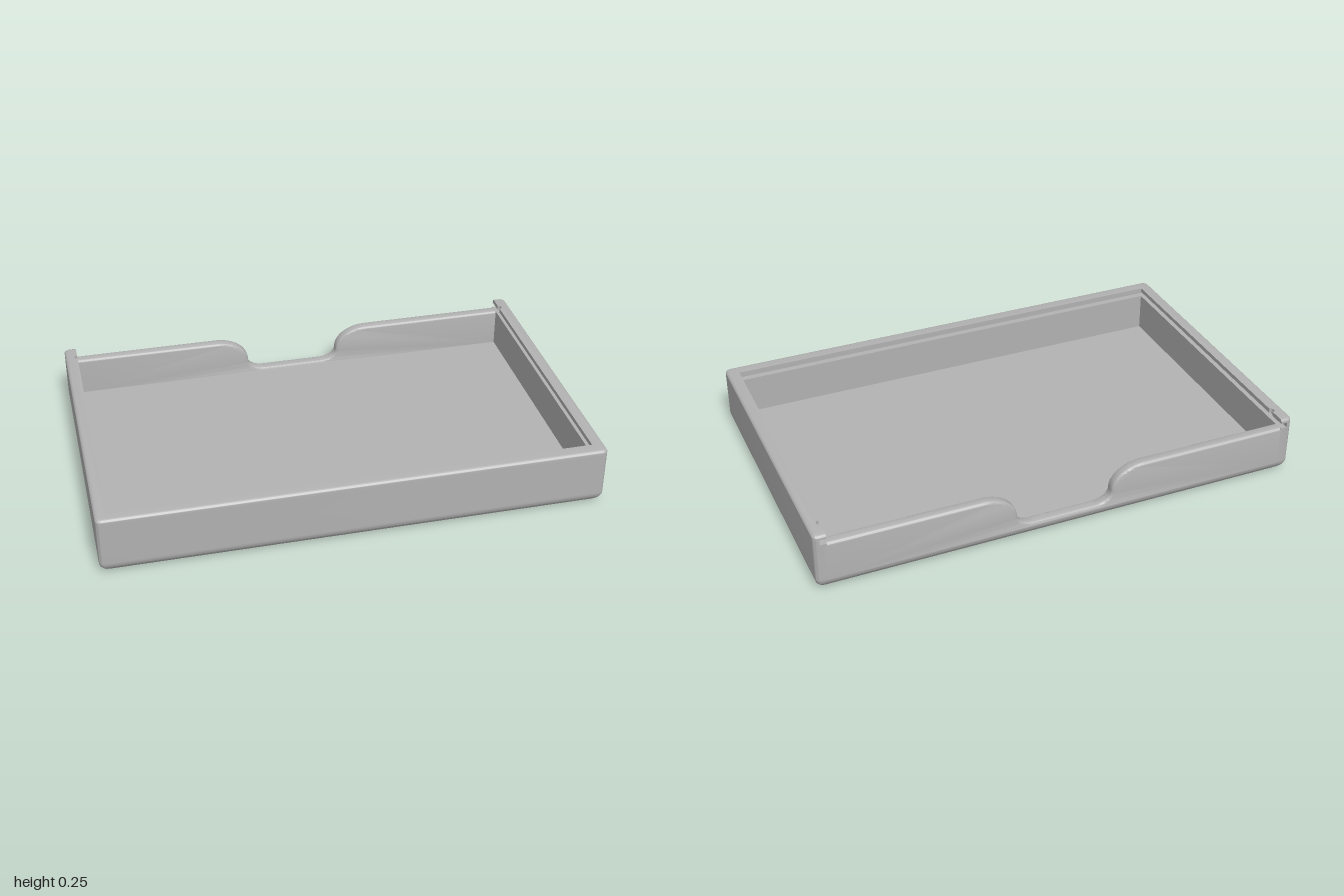
import * as THREE from 'three';
import { toCreasedNormals } from 'three/addons/utils/BufferGeometryUtils.js';

const X = 1, Z = 0.63, R = 0.02;           // half width, half depth, corner radius
const FLOOR = 0.05, LEDGE = 0.21, LIP = 0.232, TOP = 0.25;
const IN_X = 0.95, FRONT = 0.577, BACK = 0.583; // inner faces

// outline seen from above (shape y = -z); an open U when inX is given
function outline(inX, inZ, detent) {
  const s = new THREE.Shape();
  s.moveTo(-X + R, -Z);
  s.lineTo(X - R, -Z);
  s.absarc(X - R, -Z + R, R, -Math.PI / 2, 0);
  s.lineTo(X, Z - R);
  s.absarc(X - R, Z - R, R, 0, Math.PI / 2);
  if (inX) {
    s.lineTo(inX, Z);
    if (detent) s.absarc(inX, 0.55, 0.013, Math.PI / 2, -Math.PI / 2, true);
    s.lineTo(inX, -inZ);
    s.lineTo(-inX, -inZ);
    if (detent) s.absarc(-inX, 0.55, 0.013, -Math.PI / 2, Math.PI / 2, true);
    s.lineTo(-inX, Z);
  }
  s.lineTo(-X + R, Z);
  s.absarc(-X + R, Z - R, R, Math.PI / 2, Math.PI);
  s.lineTo(-X, -Z + R);
  s.absarc(-X + R, -Z + R, R, Math.PI, Math.PI * 1.5);
  return s;
}

// layer between two heights; inset(y) pulls the outer faces inward
function layer(shape, y0, y1, inset) {
  const g = new THREE.ExtrudeGeometry(shape, {
    depth: y1 - y0, steps: inset ? 9 : 1, bevelEnabled: false, curveSegments: 6,
  });
  g.rotateX(-Math.PI / 2).translate(0, y0, 0);
  if (inset) {
    const p = g.attributes.position;
    for (let i = 0; i < p.count; i++) {
      const x = p.getX(i), z = p.getZ(i), d = inset(p.getY(i));
      if (Math.abs(x) > 0.972) p.setX(i, x - Math.sign(x) * d);
      if (Math.abs(z) > 0.605) p.setZ(i, z - Math.sign(z) * d);
    }
  }
  return toCreasedNormals(g, 0.6);
}

// quarter-round inset: k runs from 0 (flush) to 1 (fully rounded)
const round = (r, k) => {
  const c = Math.min(1, Math.max(0, k));
  return r * (1 - Math.sqrt(1 - c * c));
};

// low back wall with a curved finger notch and softened edges
function backWallGeometry() {
  const bevel = 0.012, end = 0.97, low = 0.035, notch = 0.062;
  const s = new THREE.Shape();
  s.moveTo(-end, low);
  s.lineTo(end, low);
  s.lineTo(end, LEDGE);
  s.lineTo(0.34, LEDGE);
  s.absellipse(0.34, 0.11, 0.14, LEDGE - 0.11, Math.PI / 2, Math.PI, false);
  s.absellipse(0.13, 0.11, 0.07, 0.11 - notch, 0, -Math.PI / 2, true);
  s.lineTo(-0.13, notch);
  s.absellipse(-0.13, 0.11, 0.07, 0.11 - notch, -Math.PI / 2, -Math.PI, true);
  s.absellipse(-0.34, 0.11, 0.14, LEDGE - 0.11, 0, Math.PI / 2, false);
  s.lineTo(-end, LEDGE);
  const g = new THREE.ExtrudeGeometry(s, {
    depth: Z - BACK - 2 * bevel, curveSegments: 14,
    bevelSize: bevel, bevelThickness: bevel, bevelOffset: -bevel, bevelSegments: 4,
  });
  g.translate(0, 0, -Z + bevel);
  return toCreasedNormals(g, 0.6);
}

export function createModel() {
  const group = new THREE.Group();
  group.name = 'slidingLidTray';
  const grey = new THREE.MeshStandardMaterial({ color: 0xb2b2b2 });
  grey.name = 'grey';
  const add = (name, geometry) => {
    const m = new THREE.Mesh(geometry, grey);
    m.name = name;
    group.add(m);
  };

  // floor with rounded underside
  add('base', layer(outline(), 0, FLOOR, (y) => round(FLOOR, 1 - y / FLOOR)));
  // left, front and right walls up to the lid ledge
  add('sideWalls', layer(outline(IN_X, FRONT), FLOOR, LEDGE));
  // recessed groove for the lid
  add('lidGroove', layer(outline(0.977, 0.604), LEDGE, LIP));
  // overhanging lip with detent notches and a rounded top edge
  add('lip', layer(outline(IN_X, FRONT, true), LIP, TOP, (y) => round(0.012, (y - TOP + 0.012) / 0.012)));
  add('backWall', backWallGeometry());
  return group;
}
